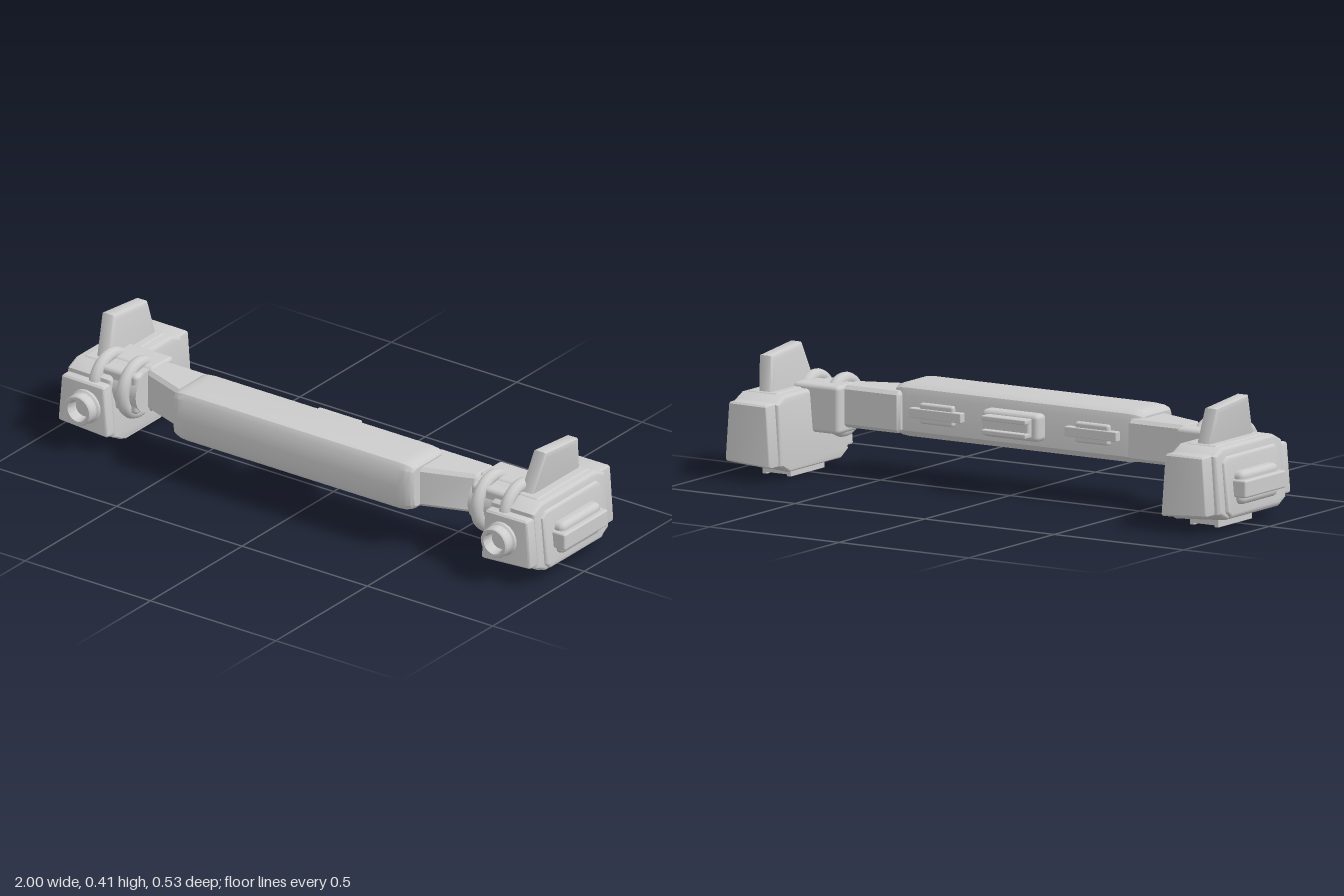
import * as THREE from 'three';
import { toCreasedNormals } from 'three/addons/utils/BufferGeometryUtils.js';
import { RoundedBoxGeometry } from 'three/addons/geometries/RoundedBoxGeometry.js';

const grey = new THREE.MeshStandardMaterial({ color: 0xcccccc });
grey.name = 'lightGrey';

// Chamfered rectangle as [z, y] points
const oct = (z0, z1, y0, y1, cz, cy) => [
  [z0 + cz, y0], [z1 - cz, y0], [z1, y0 + cy], [z1, y1 - cy],
  [z1 - cz, y1], [z0 + cz, y1], [z0, y1 - cy], [z0, y0 + cy],
];

// Side profile of [z, y] points extruded from x0 to x1 with bevelled ends
function prism(points, x0, x1, length = 0.01, inset = 0.01, segments = 1) {
  const shape = new THREE.Shape(points.map(p => new THREE.Vector2(p[0], p[1])));
  const geo = new THREE.ExtrudeGeometry(shape, {
    depth: x1 - x0 - 2 * length, bevelThickness: length, bevelSize: inset,
    bevelOffset: -inset, bevelSegments: segments,
  });
  geo.translate(0, 0, -(x1 - x0 - 2 * length) / 2);
  geo.rotateY(-Math.PI / 2);
  return geo.translate((x0 + x1) / 2, 0, 0);
}

// Rounded box given by its limits
function block(x0, x1, y0, y1, z0, z1, r = 0.008) {
  return new RoundedBoxGeometry(x1 - x0, y1 - y0, z1 - z0, 2, r)
    .translate((x0 + x1) / 2, (y0 + y1) / 2, (z0 + z1) / 2);
}

// Move every vertex by a rule
function bend(geo, rule) {
  const p = geo.attributes.position;
  const v = new THREE.Vector3();
  for (let i = 0; i < p.count; i++) {
    rule(v.fromBufferAttribute(p, i));
    p.setXYZ(i, v.x, v.y, v.z);
  }
  geo.computeVertexNormals();
  return geo;
}

// Pod walls narrow toward the top; the underside dips on the inner side
const podTaper = v => {
  const t = (v.y - 0.03) / 0.24;
  const low = THREE.MathUtils.clamp(1 - t, 0, 1);
  v.y += (v.x - 0.76) * 0.07 * low;
  v.x = 0.846 + (v.x - 0.846) * (1.0 - 0.2 * t);
};

// Mirror in x, keeping outward faces
function mirrored(geo) {
  const g = geo.index ? geo.toNonIndexed() : geo.clone();
  g.scale(-1, 1, 1);
  for (const a of Object.values(g.attributes)) {
    const n = a.itemSize;
    for (let i = 0; i < a.count; i += 3) for (let k = 0; k < n; k++) {
      const q = a.array[i * n + k];
      a.array[i * n + k] = a.array[(i + 2) * n + k];
      a.array[(i + 2) * n + k] = q;
    }
  }
  return g;
}

export function createModel() {
  const model = new THREE.Group();
  model.name = 'crossbar';
  const sides = { 1: new THREE.Group(), '-1': new THREE.Group() };
  sides[1].name = 'leftAssembly';
  sides[-1].name = 'rightAssembly';
  model.add(sides[1], sides[-1]);

  const add = (name, geo, parent = model) => {
    const mesh = new THREE.Mesh(geo, grey);
    mesh.name = name;
    parent.add(mesh);
  };
  const sharp = geo => toCreasedNormals(geo, 0.6);
  const pair = (name, geo) => {
    add(name, geo, sides[1]);
    add(name, mirrored(geo), sides[-1]);
  };

  // Central bar
  add('mainBar', sharp(prism([
    [0.055, 0.145], [0.2, 0.145], [0.222, 0.15], [0.235, 0.168], [0.239, 0.23], [0.235, 0.295],
    [0.222, 0.313], [0.2, 0.319], [0.065, 0.319], [0.043, 0.305], [0.036, 0.28], [0.036, 0.165],
  ], -0.48, 0.48, 0.055, 0.02, 3)));

  // Stepped grip in the middle of the back
  add('rearGripBase', block(-0.112, 0.108, 0.185, 0.275, -0.008, 0.05, 0.016));
  add('rearGripPad', block(-0.088, 0.083, 0.2, 0.262, -0.025, 0.03));
  for (const y of [0.208, 0.254]) add('rearGripRail', block(-0.088, 0.083, y - 0.008, y + 0.008, -0.045, 0, 0.004));

  // Slim latches either side of the grip
  pair('rearLatchPlate', block(0.235, 0.365, 0.196, 0.264, 0.02, 0.05));
  pair('rearLatchBar', block(0.2, 0.4, 0.214, 0.246, 0.013, 0.05, 0.003));

  // Tapered arm
  pair('arm', sharp(bend(prism(oct(0.017, 0.12, 0.155, 0.293, 0.012, 0.012), 0.44, 0.66), v => {
    if (v.z > 0.07) v.z += (0.66 - v.x) * 0.36;
  })));

  // Swivel joint with hub and two hoops
  pair('jointBlock', block(0.65, 0.83, 0.135, 0.293, -0.02, 0.1, 0.014));
  pair('jointFront', block(0.665, 0.81, 0.145, 0.285, 0.03, 0.165, 0.014));
  const hub = new THREE.CylinderGeometry(0.075, 0.075, 0.16, 24);
  pair('jointHub', hub.rotateZ(Math.PI / 2).translate(0.742, 0.213, 0.1));
  for (const x of [0.707, 0.818]) {
    const hoop = new THREE.TorusGeometry(0.084, 0.022, 10, 32);
    pair('jointHoop', hoop.rotateY(Math.PI / 2).translate(x, 0.213, 0.1));
  }

  // Pod body with front and back blocks
  const pod = (name, points, x0, x1, b, inset) =>
    pair(name, sharp(bend(prism(points, x0, x1, b, inset, 3), podTaper)));
  pod('podBody', oct(-0.21, 0.182, 0.028, 0.276, 0.045, 0.024), 0.738, 0.95, 0.014, 0.012);
  pod('podFront', oct(0.05, 0.216, 0.062, 0.238, 0.006, 0.006), 0.742, 0.946, 0.01, 0.008);
  pod('podBack', oct(-0.261, -0.1, 0.05, 0.256, 0.006, 0.006), 0.752, 0.93, 0.008, 0.006);
  pod('podSidePanel', oct(-0.175, 0.145, 0.036, 0.245, 0.02, 0.02), 0.9, 0.961, 0.01, 0.01);
  pair('podTopPlate', block(0.79, 0.905, 0.26, 0.28, -0.165, 0.125));

  // Grip on the outer side of the pod
  pair('sideGripPad', block(0.93, 0.981, 0.086, 0.196, -0.125, 0.09, 0.02));
  pair('sideGripBar', block(0.93, 0.998, 0.112, 0.17, -0.135, 0.103, 0.007));

  // Leaning fin
  pair('fin', sharp(bend(prism([
    [0.11, 0.265], [-0.157, 0.265], [-0.13, 0.393], [0.054, 0.412],
  ], 0.818, 0.87, 0.008, 0.018, 3), v => { v.x += (v.y - 0.265) * 0.12; })));

  // Hollow nozzle at the front
  const nozzle = new THREE.LatheGeometry([
    [0.058, 0.2], [0.058, 0.225], [0.052, 0.23], [0.052, 0.26], [0.048, 0.265],
    [0.038, 0.265], [0.035, 0.26], [0.032, 0.228], [0, 0.228],
  ].map(p => new THREE.Vector2(...p)), 32);
  pair('nozzle', sharp(nozzle.rotateX(Math.PI / 2).translate(0.83, 0.155, 0)));

  // Slatted vent under the pod
  for (const x of [0.778, 0.872]) pair('ventRail', block(x - 0.008, x + 0.008, 0.002, 0.06, -0.115, 0.083, 0.002));
  for (let i = 0; i < 5; i++) {
    const z = -0.107 + i * 0.0455;
    pair('ventSlat', block(0.778, 0.872, i ? 0.001 : 0.008, 0.06, z - 0.008, z + 0.008, 0.002));
  }
  pair('ventFloor', block(0.775, 0.875, 0.02, 0.06, -0.11, 0.08, 0.002));

  // Stand on the ground
  const box = new THREE.Box3().setFromObject(model);
  model.position.y = -box.min.y;
  return model;
}
